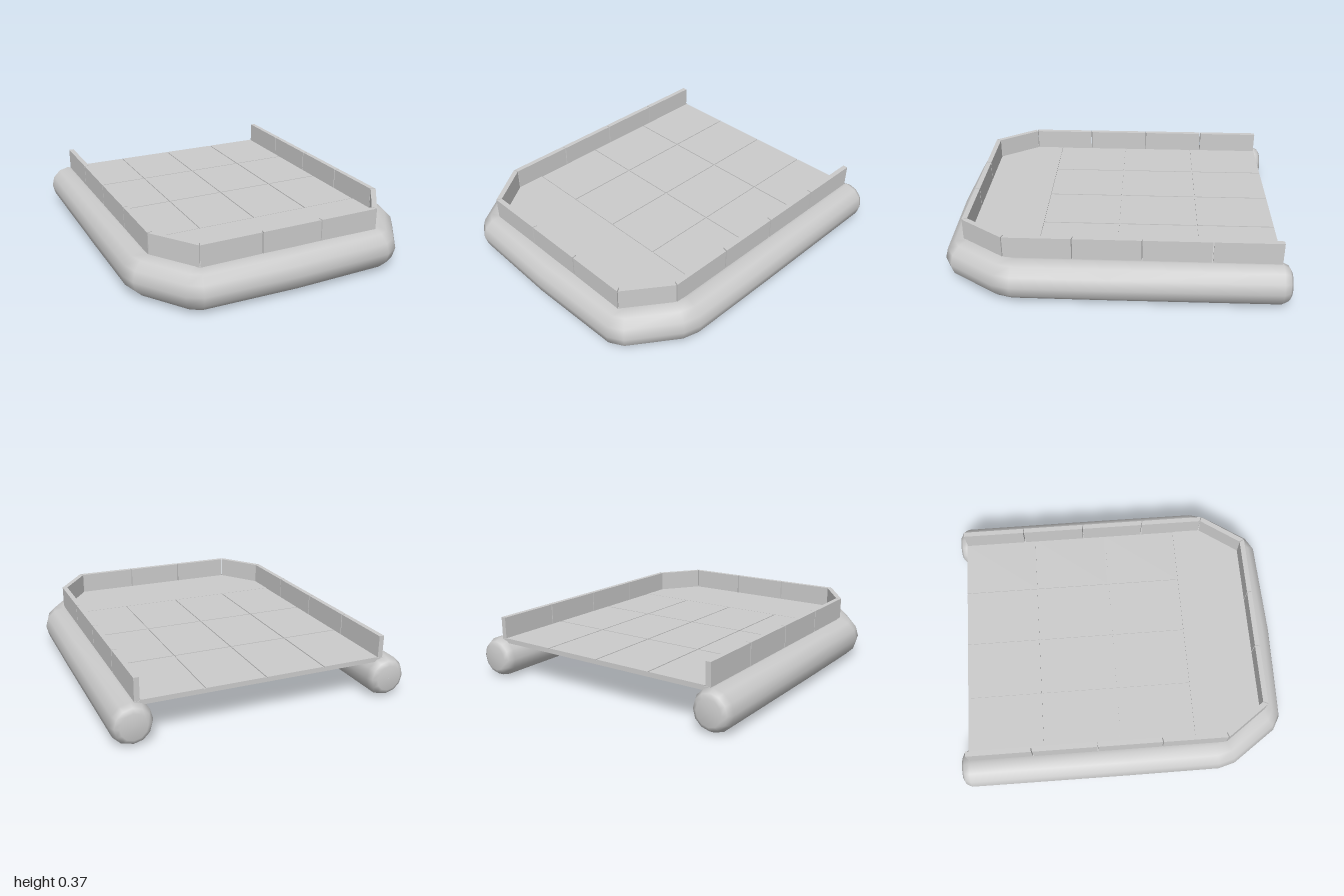
import * as THREE from 'three';

const grey = new THREE.MeshStandardMaterial({ color: 0xcccccc });

// Upright prism over an outline of [x, z] points
function prism(name, outline, y0, y1) {
  const shape = new THREE.Shape(outline.map(([x, z]) => new THREE.Vector2(x, -z)));
  const geo = new THREE.ExtrudeGeometry(shape, { depth: y1 - y0, bevelEnabled: false });
  geo.rotateX(-Math.PI / 2).translate(0, y0, 0);
  const mesh = new THREE.Mesh(geo, grey);
  mesh.name = name;
  return mesh;
}

// Mirror a half path (+x side, back to front) into a full path
const mirrored = (half) => [...half, ...half.map(([x, ...rest]) => [-x, ...rest]).reverse()];

// Round tube with mitred rings along a flat path of [x, z, radius]
function floatTube(path, y, sides) {
  const pos = [], index = [];
  const dir = (a, b) => new THREE.Vector2(b[0] - a[0], b[1] - a[1]).normalize();
  path.forEach((p, i) => {
    const prev = i > 0 ? dir(path[i - 1], p) : dir(p, path[1]);
    const next = i < path.length - 1 ? dir(p, path[i + 1]) : prev;
    const t = prev.clone().add(next).normalize();
    const mitre = p[2] / t.dot(next);
    for (let j = 0; j < sides; j++) {
      const a = (j / sides) * Math.PI * 2;
      const out = Math.cos(a) * mitre;
      pos.push(p[0] + t.y * out, y + Math.sin(a) * p[2], p[1] - t.x * out);
      if (i === path.length - 1) continue;
      const k = (j + 1) % sides, r = i * sides, s = r + sides;
      index.push(r + j, r + k, s + j, r + k, s + k, s + j);
    }
  });
  const geo = new THREE.BufferGeometry();
  geo.setAttribute('position', new THREE.Float32BufferAttribute(pos, 3));
  geo.setIndex(index);
  geo.computeVertexNormals();
  const mesh = new THREE.Mesh(geo, grey);
  mesh.name = 'floatTube';
  return mesh;
}

export function createModel() {
  const model = new THREE.Group();
  model.name = 'raft';

  // U-shaped float with rounded back ends
  const half = [
    [0.76, -0.9999, 0.001], [0.76, -0.9995, 0.075], [0.76, -0.985, 0.1], [0.76, -0.95, 0.118],
    [0.76, 0, 0.12], [0.758, 0.55, 0.12], [0.74, 0.615, 0.12],
    [0.58, 0.845, 0.12], [0.545, 0.865, 0.12],
  ];
  const path = mirrored(half);
  path.splice(half.length, 0, [0, 0.88, 0.12]);
  model.add(floatTube(path, 0.12, 12));

  // Deck slab resting on the float
  const outer = mirrored([[0.74, -0.95], [0.74, 0.615], [0.555, 0.875]]);
  const inner = mirrored([[0.71, -0.95], [0.71, 0.605], [0.54, 0.845]]);
  model.add(prism('deckSlab', outer, 0.212, 0.234));

  // Deck tiles, four across and three deep, then the bow plate
  const tiles = new THREE.Group();
  tiles.name = 'deckTiles';
  const w = 0.355, d = 0.46, g = 0.004;
  for (let i = 0; i < 4; i++) {
    for (let j = 0; j < 3; j++) {
      const x = -0.71 + i * w, z = -0.95 + j * d;
      const x0 = x + g, x1 = x + w - g, z0 = z + (j ? g : 0), z1 = z + d - g;
      tiles.add(prism('deckTile', [[x0, z0], [x1, z0], [x1, z1], [x0, z1]], 0.234, 0.24));
    }
  }
  tiles.add(prism('bowPlate', mirrored([[0.71, 0.43], [0.71, 0.605], [0.54, 0.845]]), 0.234, 0.24));
  model.add(tiles);

  // Low wall panels: four per side, one per corner, three at the bow
  const walls = new THREE.Group();
  walls.name = 'walls';
  const lerp = (a, b, t) => [a[0] + (b[0] - a[0]) * t, a[1] + (b[1] - a[1]) * t];
  [4, 1, 3, 1, 4].forEach((count, s) => {
    const length = Math.hypot(outer[s + 1][0] - outer[s][0], outer[s + 1][1] - outer[s][1]);
    const gap = 0.003 / length;
    for (let i = 0; i < count; i++) {
      const t0 = i / count + gap, t1 = (i + 1) / count - gap;
      walls.add(prism('wallPanel', [
        lerp(outer[s], outer[s + 1], t0), lerp(outer[s], outer[s + 1], t1),
        lerp(inner[s], inner[s + 1], t1), lerp(inner[s], inner[s + 1], t0),
      ], 0.234, 0.365));
    }
  });
  model.add(walls);

  return model;
}
